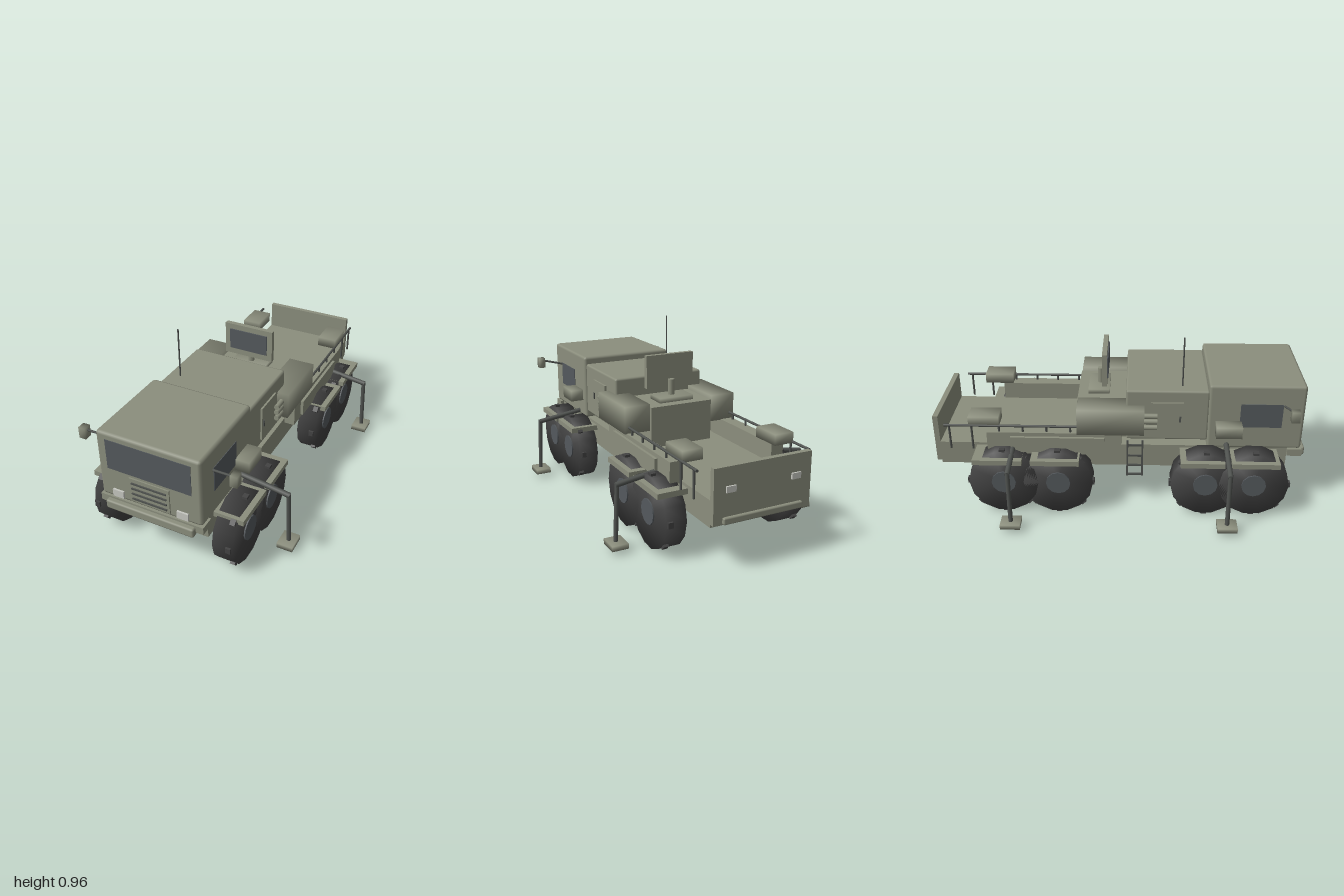
import * as THREE from 'three';
import { mergeVertices } from 'three/addons/utils/BufferGeometryUtils.js';
import { RoundedBoxGeometry } from 'three/addons/geometries/RoundedBoxGeometry.js';

const mat = (name, color) => {
  const m = new THREE.MeshStandardMaterial({ color });
  m.name = name;
  return m;
};

export function createModel() {
  const root = new THREE.Group();
  root.name = 'armyTruck';
  const paint = mat('olive paint', 0x8b8e7d);
  const rubber = mat('tyre rubber', 0x434343);
  const metal = mat('dark metal', 0x505350);
  const glass = mat('tinted glass', 0x54595d);
  const lamp = mat('lamp', 0xc6c7c0);

  const add = (name, geo, material, parent = root) => {
    const mesh = new THREE.Mesh(geo, material);
    mesh.name = name;
    parent.add(mesh);
    return mesh;
  };
  // Boxes are given by their limits on each axis
  const place = (name, geo, material, x, y, z) => {
    const mesh = add(name, geo, material);
    mesh.position.set((x[0] + x[1]) / 2, (y[0] + y[1]) / 2, (z[0] + z[1]) / 2);
    return mesh;
  };
  const size = (x, y, z) => [x, y, z].map((r) => Math.abs(r[1] - r[0]));
  const box = (name, material, x, y, z) =>
    place(name, new THREE.BoxGeometry(...size(x, y, z)), material, x, y, z);
  const rounded = (name, material, x, y, z, r) =>
    place(name, new RoundedBoxGeometry(...size(x, y, z), 1, r), material, x, y, z);
  // Box with shared corner normals, for the softly shaded pods
  const soft = (name, material, x, y, z) => {
    const g = new THREE.BoxGeometry(...size(x, y, z));
    g.deleteAttribute('uv');
    g.deleteAttribute('normal');
    const m = mergeVertices(g);
    m.computeVertexNormals();
    return place(name, m, material, x, y, z);
  };
  const rod = (name, material, a, b, r, sides = 8) => {
    const p = new THREE.Vector3(...a);
    const q = new THREE.Vector3(...b);
    const d = q.clone().sub(p);
    const mesh = add(name, new THREE.CylinderGeometry(r, r, d.length(), sides), material);
    mesh.position.copy(p).add(q).multiplyScalar(0.5);
    mesh.quaternion.setFromUnitVectors(new THREE.Vector3(0, 1, 0), d.normalize());
    return mesh;
  };
  const span = (s, a, b) => (s > 0 ? [a, b] : [-b, -a]);

  // Hull, cab and engine cabin
  box('hull', paint, [-0.262, 0.262], [0.23, 0.36], [-0.96, 0.9]);
  rounded('cab', paint, [-0.275, 0.275], [0.355, 0.725], [0.47, 0.97], 0.016);
  rounded('engineCabin', paint, [-0.265, 0.265], [0.395, 0.685], [0.042, 0.475], 0.012);
  box('windscreen', glass, [-0.225, 0.225], [0.525, 0.69], [0.966, 0.973]);

  // Grille
  box('grille', paint, [-0.108, 0.108], [0.375, 0.51], [0.965, 0.977]);
  for (let i = 0; i < 4; i++) {
    const y = 0.395 + i * 0.03;
    box('grilleBar', metal, [-0.094, 0.094], [y - 0.004, y + 0.004], [0.974, 0.983]);
  }

  // Bumpers, tail plate
  box('frontBumper', paint, [-0.28, 0.28], [0.315, 0.355], [0.9, 0.975]);
  rounded('bumperBar', paint, [-0.24, 0.24], [0.295, 0.345], [0.96, 1], 0.01);
  box('tailPlate', paint, [-0.262, 0.262], [0.245, 0.515], [-0.985, -0.957]);
  rounded('rearBumper', paint, [-0.215, 0.215], [0.245, 0.28], [-1, -0.975], 0.008);

  // Deck hump and swivelling screen
  box('deckHump', paint, [-0.18, 0.18], [0.36, 0.58], [-0.22, 0.05]);
  soft('screenBase', paint, [-0.1, 0.1], [0.575, 0.605], [-0.165, -0.05]);
  rod('screenPost', paint, [0, 0.6, -0.1], [0, 0.69, -0.1], 0.018, 10);
  box('screenHousing', paint, [-0.14, 0.14], [0.645, 0.825], [-0.088, -0.062]);
  box('screenGlass', glass, [-0.11, 0.11], [0.68, 0.795], [-0.064, -0.056]);
  rod('antenna', metal, [-0.2, 0.685, 0.335], [-0.2, 0.957, 0.335], 0.004, 6);

  // Boarding ladder on the right side
  for (const z of [0.05, 0.13])
    box('ladderRail', metal, [-0.29, -0.28], [0.18, 0.4], [z - 0.005, z + 0.005]);
  for (const y of [0.187, 0.245, 0.305, 0.37])
    box('ladderRung', metal, [-0.289, -0.281], [y - 0.005, y + 0.005], [0.05, 0.13]);

  // Wheel: soft-shaded drum, hub and eight knobs
  const drum = new THREE.CylinderGeometry(0.185, 0.185, 0.108, 14);
  drum.deleteAttribute('uv');
  drum.deleteAttribute('normal');
  const tyreGeo = mergeVertices(drum);
  tyreGeo.computeVertexNormals();
  const hubGeo = new THREE.CylinderGeometry(0.065, 0.065, 0.02, 12);
  const knobGeo = new THREE.BoxGeometry(0.027, 0.03, 0.03);
  const wheel = (s, z) => {
    const g = new THREE.Group();
    g.name = 'wheel';
    g.position.set(s * 0.336, 0.195, z);
    add('tyre', tyreGeo, rubber, g).rotation.z = Math.PI / 2;
    const hub = add('hub', hubGeo, glass, g);
    hub.rotation.z = Math.PI / 2;
    hub.position.x = s * 0.051;
    for (let i = 0; i < 8; i++) {
      const a = (i * Math.PI) / 4;
      const knob = add('treadKnob', knobGeo, rubber, g);
      knob.position.set(s * 0.033, Math.sin(a) * 0.178, Math.cos(a) * 0.178);
      knob.rotation.x = -a;
    }
    root.add(g);
  };

  for (const s of [1, -1]) {
    const X = (a, b) => span(s, a, b);
    for (const z of [0.72, 0.465, -0.315, -0.605]) wheel(s, z);

    // Mudguards, split around the stabiliser legs
    for (const z of [[0.33, 0.56], [0.595, 0.845], [-0.455, -0.2], [-0.76, -0.5]])
      box('mudguard', paint, X(0.26, 0.42), [0.317, 0.345], z);

    // Folding stabiliser legs
    for (const z of [0.575, -0.555]) {
      rod('stabiliserArm', metal, [s * 0.27, 0.378, z], [s * 0.535, 0.338, z], 0.014);
      rod('stabiliserLeg', metal, [s * 0.528, 0.345, z], [s * 0.54, 0.05, z], 0.012);
      soft('stabiliserFoot', paint, X(0.495, 0.58), [0.025, 0.052], [z - 0.052, z + 0.052]);
    }

    // Cab side details
    box('sideWindow', glass, X(0.271, 0.278), [0.485, 0.62], [0.636, 0.855]);
    soft('cabLocker', paint, X(0.265, 0.35), [0.456, 0.52], [0.51, 0.645]);
    rod('mirrorArm', metal, [s * 0.27, 0.61, 0.86], [s * 0.39, 0.638, 0.89], 0.006);
    soft('mirror', paint, X(0.385, 0.422), [0.595, 0.655], [0.87, 0.912]);
    box('headlight', lamp, X(0.145, 0.205), [0.37, 0.41], [0.965, 0.98]);
    box('tailLight', lamp, X(0.15, 0.2), [0.395, 0.425], [-0.994, -0.98]);

    // Cabin hatch and smoke dischargers
    box('hatch', paint, X(0.25, 0.275), [0.43, 0.62], [0.172, 0.342]);
    box('hatchHandle', metal, X(0.274, 0.281), [0.51, 0.545], [0.32, 0.33]);
    for (const y of [0.485, 0.52, 0.552])
      rod('smokeTube', paint, [s * 0.292, y, 0.12], [s * 0.292, y, 0.205], 0.014, 10);

    // Side pods, long lockers and rear box
    soft('sidePod', paint, X(0.185, 0.328), [0.455, 0.6], [-0.214, 0.137]);
    box('longLocker', paint, X(0.25, 0.32), [0.33, 0.458], [-0.69, 0.017]);
    box('lockerPanel', paint, X(0.315, 0.335), [0.35, 0.437], [-0.565, -0.07]);
    soft('rearBox', paint, X(0.2, 0.307), [0.485, 0.54], [-0.785, -0.625]);

    // Handrail
    rod('handrail', metal, [s * 0.305, 0.49, -0.2], [s * 0.305, 0.49, -0.915], 0.007);
    for (const z of [-0.25, -0.375, -0.5, -0.625, -0.77, -0.888])
      rod('railPost', metal, [s * 0.305, z < -0.7 ? 0.35 : 0.45, z], [s * 0.305, 0.49, z], 0.006, 6);
  }
  return root;
}
